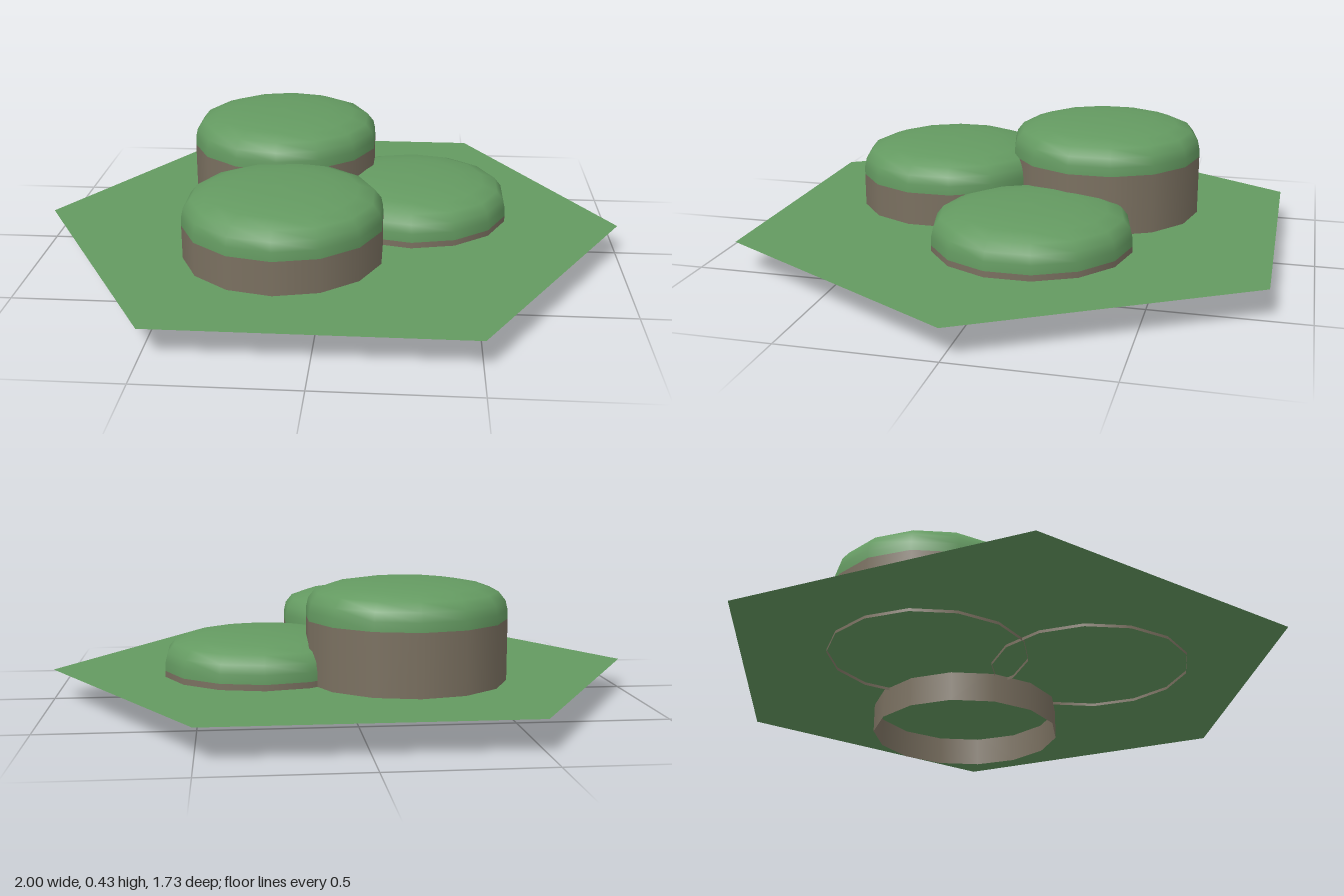
import * as THREE from 'three';

const RADIUS = 0.333;
const SIDES = 14;

const grass = new THREE.MeshStandardMaterial({ color: 0x649a61, side: THREE.DoubleSide });
const earth = new THREE.MeshStandardMaterial({ color: 0x7a7060, side: THREE.DoubleSide });

// Rounded cap profile: radius, height above the earth wall
const CAP = [
  [0.333, 0], [0.332, 0.03], [0.325, 0.06], [0.302, 0.089],
  [0.25, 0.108], [0.17, 0.121], [0.08, 0.126], [0, 0.127],
].map(([r, y]) => new THREE.Vector2(r, y));

// One terrace: open earth wall with a domed grass cap
function makeHill(name, x, z, bottom, rim) {
  const hill = new THREE.Group();
  hill.name = name;
  hill.position.set(x, bottom, z);

  const height = rim - bottom;
  const wall = new THREE.Mesh(
    new THREE.CylinderGeometry(RADIUS, RADIUS, height, SIDES, 1, true), earth);
  wall.name = 'earthWall';
  wall.position.y = height / 2;

  const cap = new THREE.Mesh(new THREE.LatheGeometry(CAP, SIDES), grass);
  cap.name = 'grassCap';
  cap.position.y = height;

  hill.add(wall, cap);
  return hill;
}

export function createModel() {
  const model = new THREE.Group();
  model.name = 'hillTile';

  // Flat hexagonal ground sheet with corners on the x axis
  const ground = new THREE.Mesh(new THREE.CircleGeometry(1, 6), grass);
  ground.name = 'hexGround';
  ground.rotation.x = -Math.PI / 2;
  ground.position.y = 0.102;
  model.add(ground);

  // Three overlapping hills of stepped height
  model.add(
    makeHill('tallHill', -0.183, -0.25, 0.092, 0.306),
    makeHill('middleHill', -0.135, 0.298, 0.092, 0.206 + 0.01),
    makeHill('lowHill', 0.285, -0.09, 0, 0.122),
  );
  return model;
}
